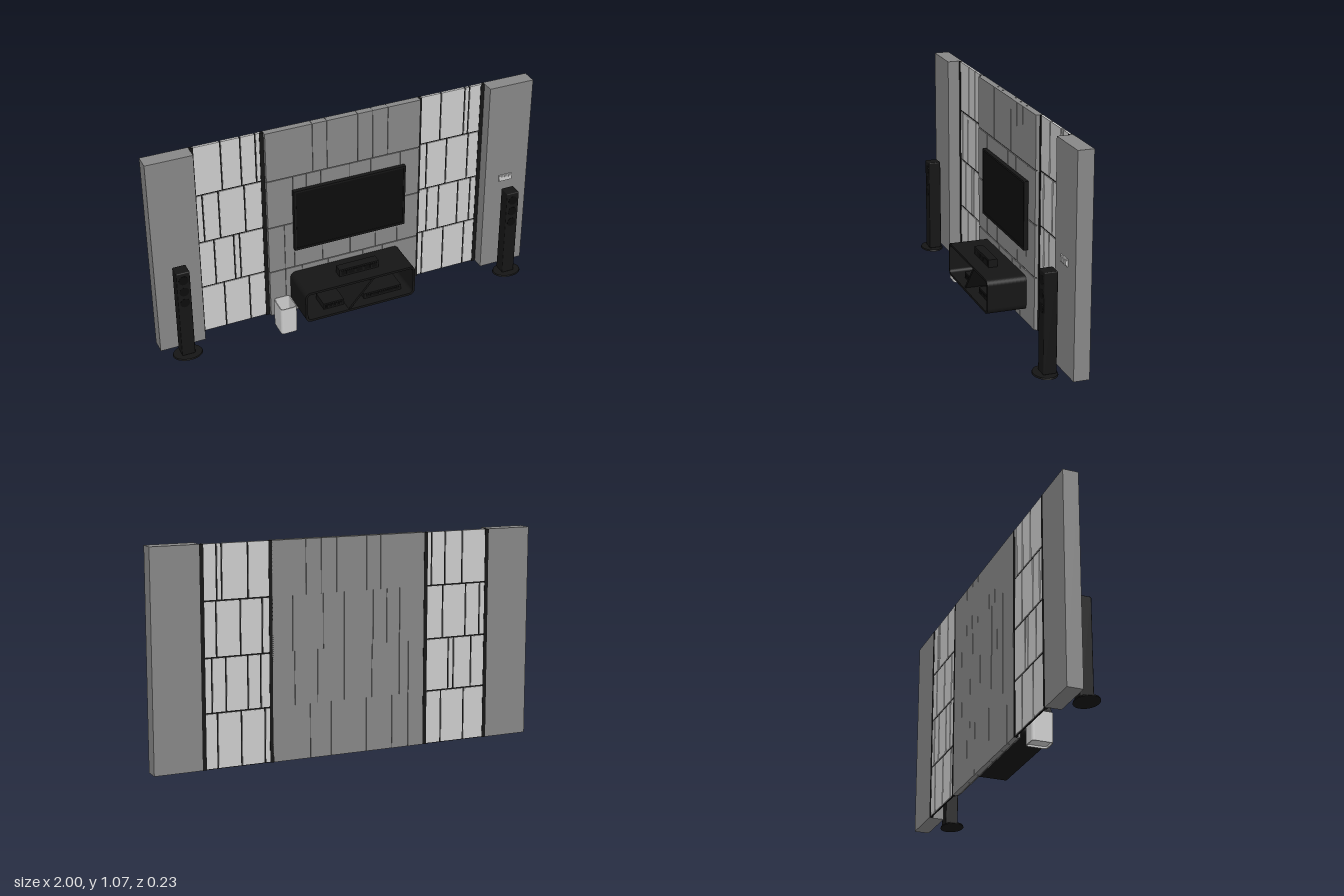
import * as THREE from 'three';
import { RoundedBoxGeometry } from 'three/addons/geometries/RoundedBoxGeometry.js';

const mat = (color, side = THREE.FrontSide) => new THREE.MeshStandardMaterial({ color, side });
const light = mat(0xcccccc);
const wall = mat(0x868686);
const groove = mat(0x4a4a4a);
const black = mat(0x151515);
const screenBlack = mat(0x0c0c0c);

const HEIGHT = 1.065, BACK = -0.117;
const ROWS = [0, 0.27, 0.533, 0.8, HEIGHT];

function add(parent, name, geometry, material, x = 0, y = 0, z = 0) {
  const mesh = new THREE.Mesh(geometry, material);
  mesh.name = name;
  mesh.position.set(x, y, z);
  parent.add(mesh);
  return mesh;
}

// Box given by its limits on each axis
function box(parent, name, material, x0, x1, y0, y1, z0, z1) {
  return add(parent, name, new THREE.BoxGeometry(x1 - x0, y1 - y0, z1 - z0), material,
    (x0 + x1) / 2, (y0 + y1) / 2, (z0 + z1) / 2);
}

function group(parent, name) {
  const g = new THREE.Group();
  g.name = name;
  parent.add(g);
  return g;
}

function roundedRect(PathType, x0, x1, y0, y1, r) {
  const p = new PathType();
  p.moveTo(x0 + r, y0);
  p.lineTo(x1 - r, y0);
  p.absarc(x1 - r, y0 + r, r, -Math.PI / 2, 0);
  p.lineTo(x1, y1 - r);
  p.absarc(x1 - r, y1 - r, r, 0, Math.PI / 2);
  p.lineTo(x0 + r, y1);
  p.absarc(x0 + r, y1 - r, r, Math.PI / 2, Math.PI);
  p.lineTo(x0, y0 + r);
  p.absarc(x0 + r, y0 + r, r, Math.PI, Math.PI * 1.5);
  return p;
}

// Calls place(x0, x1, y0, y1) for every tile between the cuts of each row
function eachTile(x0, x1, cuts, place) {
  cuts.forEach((row, i) => {
    const xs = [x0, ...row, x1];
    for (let j = 0; j + 1 < xs.length; j++) place(xs[j], xs[j + 1], ROWS[i], ROWS[i + 1]);
  });
}

// Light tiles standing proud of a thin black sheet, between two black posts
function tilePanel(parent, name, x0, x1, cuts) {
  const g = group(parent, name);
  const gap = 0.004;
  box(g, 'blackSheet', black, x0, x1, 0, HEIGHT - 0.004, -0.112, -0.107);
  eachTile(x0, x1, cuts, (a, b, c, d) =>
    box(g, 'tile', light, a + gap, b - gap, c + gap, d - (d === HEIGHT ? 0 : gap), -0.116, -0.103));
  for (const x of [x0, x1]) box(g, 'post', black, x - 0.01, x + 0.01, 0, HEIGHT, BACK, -0.101);
}

// Thick grey planks with fine joints
function centrePanel(parent) {
  const g = group(parent, 'centrePanel');
  const gap = 0.0015;
  box(g, 'core', groove, -0.402, 0.402, 0.001, HEIGHT - 0.002, -0.112, -0.088);
  eachTile(-0.405, 0.405, [
    [-0.32, -0.23, -0.09, 0.1, 0.21],
    [-0.32, -0.27, -0.12, 0.03, 0.17, 0.29],
    [-0.27, -0.2, -0.125, 0.03, 0.14, 0.3],
    [-0.165, -0.09, 0.07, 0.15, 0.23],
  ], (a, b, c, d) => {
    box(g, 'plankBack', wall, a + gap, b - gap, c, d, BACK, -0.095);
    box(g, 'plankFront', wall, a + gap, b - gap, c + 0.003, d - (d === HEIGHT ? 0 : 0.003), -0.095, -0.083);
  });
}

function speaker(parent, name, x, z) {
  const g = group(parent, name);
  g.position.set(x, 0, z);
  const base = add(g, 'base', new THREE.CylinderGeometry(0.072, 0.075, 0.007, 40), black, 0, 0.0035, 0);
  base.scale.z = 0.77;
  add(g, 'column', new RoundedBoxGeometry(0.067, 0.488, 0.065, 2, 0.005), black, 0, 0.25, -0.012);
  for (const y of [0.45, 0.385, 0.32]) {
    const cone = add(g, 'driver', new THREE.CylinderGeometry(0.024, 0.024, 0.002, 24), screenBlack, 0, y, 0.0205);
    cone.rotation.x = Math.PI / 2;
  }
}

function television(parent) {
  const g = group(parent, 'television');
  box(g, 'mount', black, -0.1, 0.14, 0.46, 0.64, -0.084, -0.078);
  box(g, 'body', black, -0.275, 0.32, 0.382, 0.725, -0.08, -0.062);
  box(g, 'screen', screenBlack, -0.263, 0.308, 0.396, 0.713, -0.063, -0.0612);
  const frame = roundedRect(THREE.Shape, -0.275, 0.32, 0.382, 0.725, 0.003);
  frame.holes.push(roundedRect(THREE.Path, -0.265, 0.31, 0.394, 0.715, 0.002));
  add(g, 'bezel', new THREE.ExtrudeGeometry(frame, { depth: 0.004, bevelEnabled: false }), black, 0, 0, -0.062);
}

function device(parent, name, x0, x1, y0, y1, z0, z1) {
  const g = group(parent, name);
  box(g, 'case', black, x0, x1, y0, y1, z0, z1);
  box(g, 'fascia', screenBlack, x0 + 0.01, x1 - 0.01, y0 + 0.008, y1 - 0.008, z1, z1 + 0.002);
  for (let i = 0; i < 4; i++) {
    const x = x0 + (x1 - x0) * (0.2 + 0.2 * i);
    box(g, 'button', black, x - 0.005, x + 0.005, y0 + 0.011, y1 - 0.011, z1 + 0.001, z1 + 0.004);
  }
}

// Open rounded console with a slanting divider
function mediaConsole(parent) {
  const g = group(parent, 'mediaConsole');
  const shell = roundedRect(THREE.Shape, -0.295, 0.3, 0.065, 0.24, 0.03);
  shell.holes.push(roundedRect(THREE.Path, -0.283, 0.288, 0.077, 0.228, 0.019));
  add(g, 'shell', new THREE.ExtrudeGeometry(shell, { depth: 0.199, bevelEnabled: false, curveSegments: 10 }),
    black, 0, 0, -0.082);
  const divider = new THREE.Shape([[-0.066, 0.073], [-0.052, 0.073], [0.087, 0.232], [0.073, 0.232]]
    .map(([x, y]) => new THREE.Vector2(x, y)));
  add(g, 'divider', new THREE.ExtrudeGeometry(divider, { depth: 0.19, bevelEnabled: false }), black, 0, 0, -0.08);
  device(g, 'smallPlayer', -0.18, -0.07, 0.08, 0.113, -0.03, 0.07);
  device(g, 'receiver', 0.04, 0.245, 0.08, 0.11, -0.03, 0.07);
  device(g, 'soundbar', -0.085, 0.128, 0.24, 0.28, 0.005, 0.05);
}

// Open bin: a rounded tube of walls with a raised floor
function bin(parent) {
  const g = group(parent, 'bin');
  const ring = roundedRect(THREE.Shape, -0.043, 0.043, -0.054, 0.054, 0.014);
  ring.holes.push(roundedRect(THREE.Path, -0.038, 0.038, -0.049, 0.049, 0.01));
  const walls = add(g, 'walls', new THREE.ExtrudeGeometry(ring, { depth: 0.15, bevelEnabled: false }), light);
  walls.rotation.x = -Math.PI / 2;
  box(g, 'floor', light, -0.038, 0.038, 0.01, 0.015, -0.048, 0.048);
  g.position.set(-0.367, 0, 0.025);
}

// Wall socket with a row of three inserts
function socket(parent) {
  const g = group(parent, 'socket');
  box(g, 'plate', light, 0.84, 0.913, 0.513, 0.547, -0.041, -0.034);
  for (let i = 0; i < 3; i++) {
    const x = 0.853 + i * 0.0235;
    box(g, 'insert', light, x - 0.009, x + 0.009, 0.519, 0.541, -0.035, -0.031);
  }
}

export function createModel() {
  const model = new THREE.Group();
  model.name = 'mediaWall';

  box(model, 'rightPillar', wall, -1, -0.768, 0, HEIGHT, BACK, -0.04);
  box(model, 'leftPillar', wall, 0.762, 1, 0, HEIGHT, BACK, -0.04);

  tilePanel(model, 'rightTilePanel', -0.758, -0.414, [
    [-0.635, -0.505],
    [-0.675, -0.575, -0.545],
    [-0.72, -0.64, -0.51],
    [-0.617, -0.52, -0.445],
  ]);
  tilePanel(model, 'leftTilePanel', 0.41, 0.752, [
    [0.445, 0.565, 0.685],
    [0.465, 0.53, 0.64, 0.71],
    [0.455, 0.565, 0.685],
    [0.525, 0.655, 0.68],
  ]);
  centrePanel(model);

  television(model);
  mediaConsole(model);
  speaker(model, 'rightSpeaker', -0.883, 0.027);
  speaker(model, 'leftSpeaker', 0.87, 0.045);
  bin(model);
  socket(model);
  return model;
}
